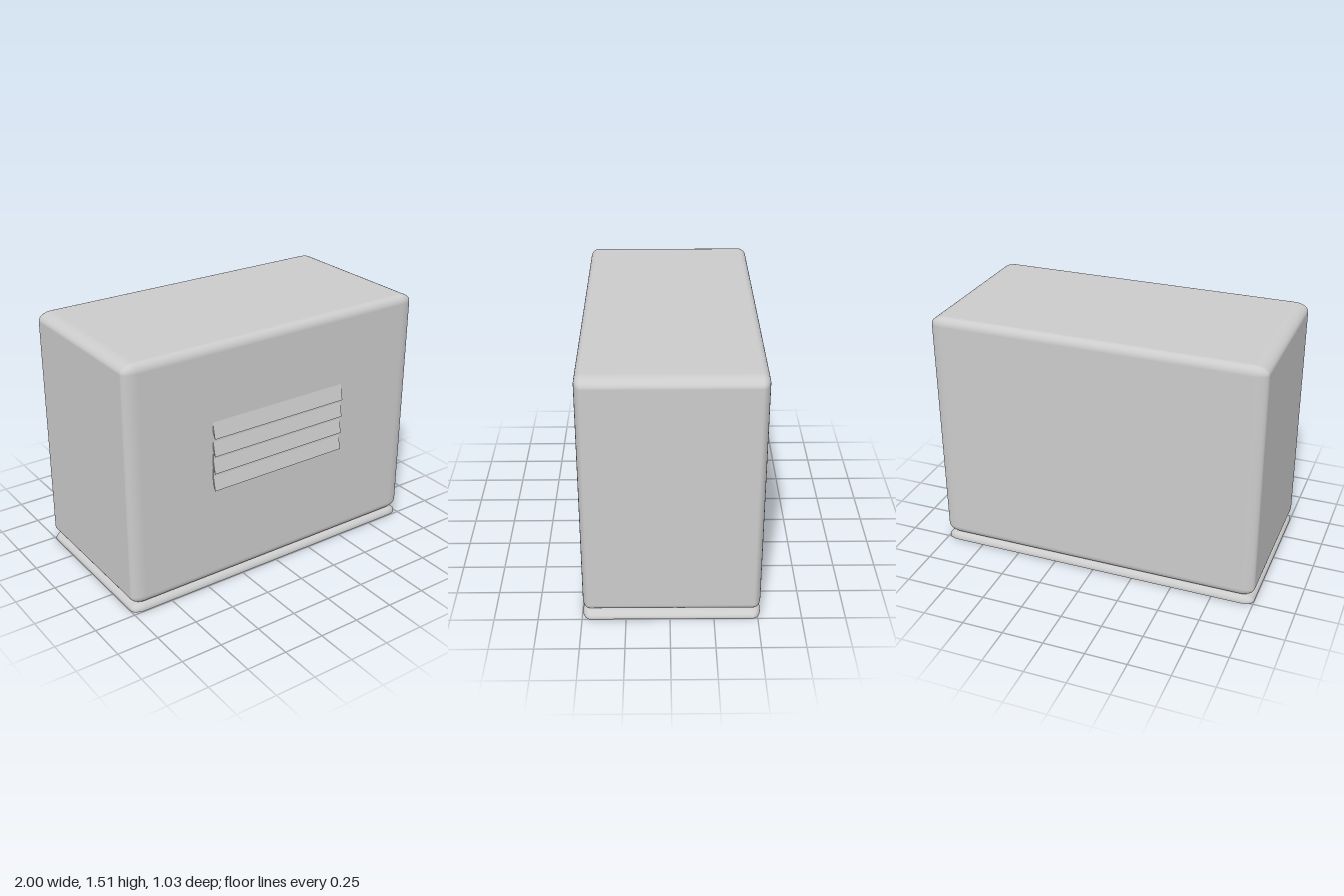
import * as THREE from 'three';
import { RoundedBoxGeometry } from 'three/addons/geometries/RoundedBoxGeometry.js';

const FRONT = 0.497, BACK = -0.517;
const DEPTH = FRONT - BACK, MID_Z = (FRONT + BACK) / 2;
const material = new THREE.MeshStandardMaterial({ color: 0xcccccc });

function addMesh(parent, name, geometry) {
  const mesh = new THREE.Mesh(geometry, material);
  mesh.name = name;
  parent.add(mesh);
  return mesh;
}

// Rounded box whose edge radius differs along each axis
function softBox(w, h, d, rx, ry, rz) {
  const r = 0.05;
  const geo = new RoundedBoxGeometry(w * r / rx, h * r / ry, d * r / rz, 5, r);
  return geo.scale(rx / r, ry / r, rz / r);
}

// Upper half of a soft box, closed by a flat underside at y = 0
function plinthGeometry() {
  const geo = softBox(2, 0.09, DEPTH, 0.08, 0.04, 0.045);
  const pos = geo.attributes.position, normal = geo.attributes.normal;
  for (let i = 0; i < pos.count; i += 3) {
    const corners = [i, i + 1, i + 2];
    const below = corners.every((j) => pos.getY(j) <= 0);
    for (const j of corners) {
      if (below) normal.setXYZ(j, 0, -1, 0);
      pos.setY(j, Math.max(0, pos.getY(j)));
    }
  }
  return geo;
}

// Side profile of [z, y] points, extruded along x and centred
function slatGeometry(points, width) {
  const shape = new THREE.Shape(points.map(([z, y]) => new THREE.Vector2(-z, y)));
  const geo = new THREE.ExtrudeGeometry(shape, { depth: width, bevelEnabled: false });
  return geo.translate(0, 0, -width / 2).rotateY(Math.PI / 2);
}

export function createModel() {
  const model = new THREE.Group();
  model.name = 'cabinet';

  // Main housing
  const housing = addMesh(model, 'housing', softBox(2, 1.47, DEPTH, 0.085, 0.052, 0.045));
  housing.position.set(0, 0.78, MID_Z);

  // Plinth under the housing
  addMesh(model, 'plinth', plinthGeometry()).position.z = MID_Z;

  // Four hooded louvers, each with a shallow sill below the hood
  const louvers = new THREE.Group();
  louvers.name = 'louvers';
  model.add(louvers);
  const hood = slatGeometry([[0.48, 0.1], [FRONT, 0.097], [0.518, 0], [FRONT, 0.045], [0.48, 0.06]], 0.914);
  const sill = new THREE.BoxGeometry(0.914, 0.05, 0.02);
  for (let i = 0; i < 4; i++) {
    const y = 0.963 - i * 0.109;
    addMesh(louvers, 'louverHood', hood).position.y = y;
    addMesh(louvers, 'louverSill', sill).position.set(0, y + 0.004, FRONT - 0.008);
  }
  return model;
}
